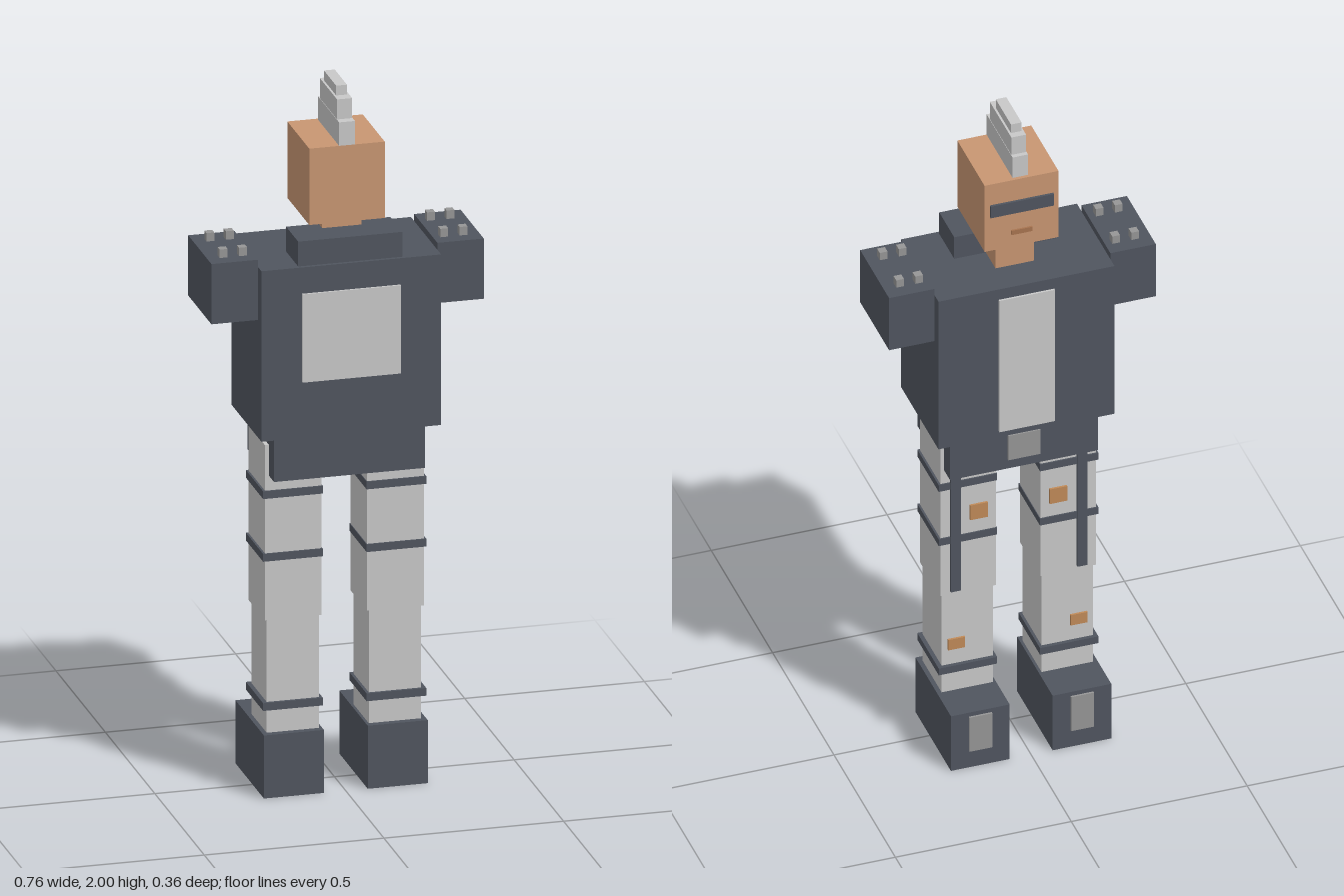
import * as THREE from 'three';

const mat = (name, color) => {
  const m = new THREE.MeshStandardMaterial({ color });
  m.name = name;
  return m;
};

export function createModel() {
  const armour = mat('slateArmour', 0x50555f);
  const cloth = mat('lightGrey', 0xc8c8c8);
  const metal = mat('midGrey', 0x969696);
  const skin = mat('skin', 0xc89672);
  const patch = mat('patchTan', 0xc08a58);
  const lip = mat('lipBrown', 0xa87450);

  const model = new THREE.Group();
  model.name = 'blockFigure';

  // Box given by its extents on each axis
  const box = (name, material, [x0, x1], [y0, y1], [z0, z1]) => {
    const mesh = new THREE.Mesh(new THREE.BoxGeometry(x1 - x0, y1 - y0, z1 - z0), material);
    mesh.position.set((x0 + x1) / 2, (y0 + y1) / 2, (z0 + z1) / 2);
    mesh.name = name;
    model.add(mesh);
  };
  // The same box on both sides of the body
  const pair = (name, material, [x0, x1], y, z) => {
    box(name + 'Left', material, [x0, x1], y, z);
    box(name + 'Right', material, [-x1, -x0], y, z);
  };

  // Head and face (the face looks toward -z)
  box('head', skin, [-0.105, 0.105], [1.63, 1.848], [-0.095, 0.127]);
  box('neck', skin, [-0.055, 0.055], [1.52, 1.63], [-0.04, 0.075]);
  box('visor', armour, [-0.09, 0.09], [1.742, 1.78], [-0.102, -0.094]);
  box('mouth', lip, [-0.03, 0.03], [1.671, 1.685], [-0.1, -0.094]);

  // Stepped crest
  box('crestBase', cloth, [-0.022, 0.022], [1.848, 1.915], [-0.085, 0.127]);
  box('crestMiddle', cloth, [-0.021, 0.021], [1.915, 1.972], [-0.072, 0.103]);
  box('crestTop', cloth, [-0.015, 0.015], [1.972, 2], [-0.052, 0.072]);

  // Torso, collar and panels
  box('torso', armour, [-0.25, 0.25], [1.04, 1.527], [-0.135, 0.17]);
  box('collar', armour, [-0.145, 0.145], [1.51, 1.598], [0.038, 0.16]);
  box('backPanel', cloth, [-0.137, 0.137], [1.2, 1.452], [0.168, 0.176]);
  box('chestStripe', cloth, [-0.079, 0.079], [1.06, 1.493], [-0.141, -0.134]);
  box('hips', armour, [-0.21, 0.21], [0.915, 1.04], [-0.114, 0.152]);
  box('buckle', metal, [-0.046, 0.046], [0.945, 1.025], [-0.119, -0.113]);

  // Shoulders with studs
  pair('shoulder', armour, [0.25, 0.379], [1.375, 1.547], [-0.102, 0.133]);
  for (const x of [0.28, 0.334])
    for (const z of [-0.052, 0.082])
      pair('stud', metal, [x - 0.011, x + 0.011], [1.545, 1.571], [z - 0.011, z + 0.011]);

  // Legs
  pair('thigh', cloth, [0.063, 0.221], [0.503, 1.003], [-0.067, 0.1]);
  pair('shin', cloth, [0.069, 0.215], [0.17, 0.503], [-0.06, 0.096]);
  for (const y of [0.862, 0.683, 0.257])
    pair('legBand', armour, [0.061, 0.227], [y - 0.011, y + 0.011], [-0.071, 0.104]);
  pair('hangingStrap', armour, [0.166, 0.194], [0.515, 0.93], [-0.076, -0.066]);
  pair('thighPatch', patch, [0.088, 0.138], [0.738, 0.786], [-0.073, -0.066]);
  pair('shinPatch', patch, [0.15, 0.198], [0.318, 0.352], [-0.066, -0.059]);

  // Boots with toe plates
  pair('boot', armour, [0.061, 0.228], [0, 0.18], [-0.173, 0.115]);
  pair('toePlate', metal, [0.112, 0.177], [0.055, 0.167], [-0.179, -0.172]);

  return model;
}
